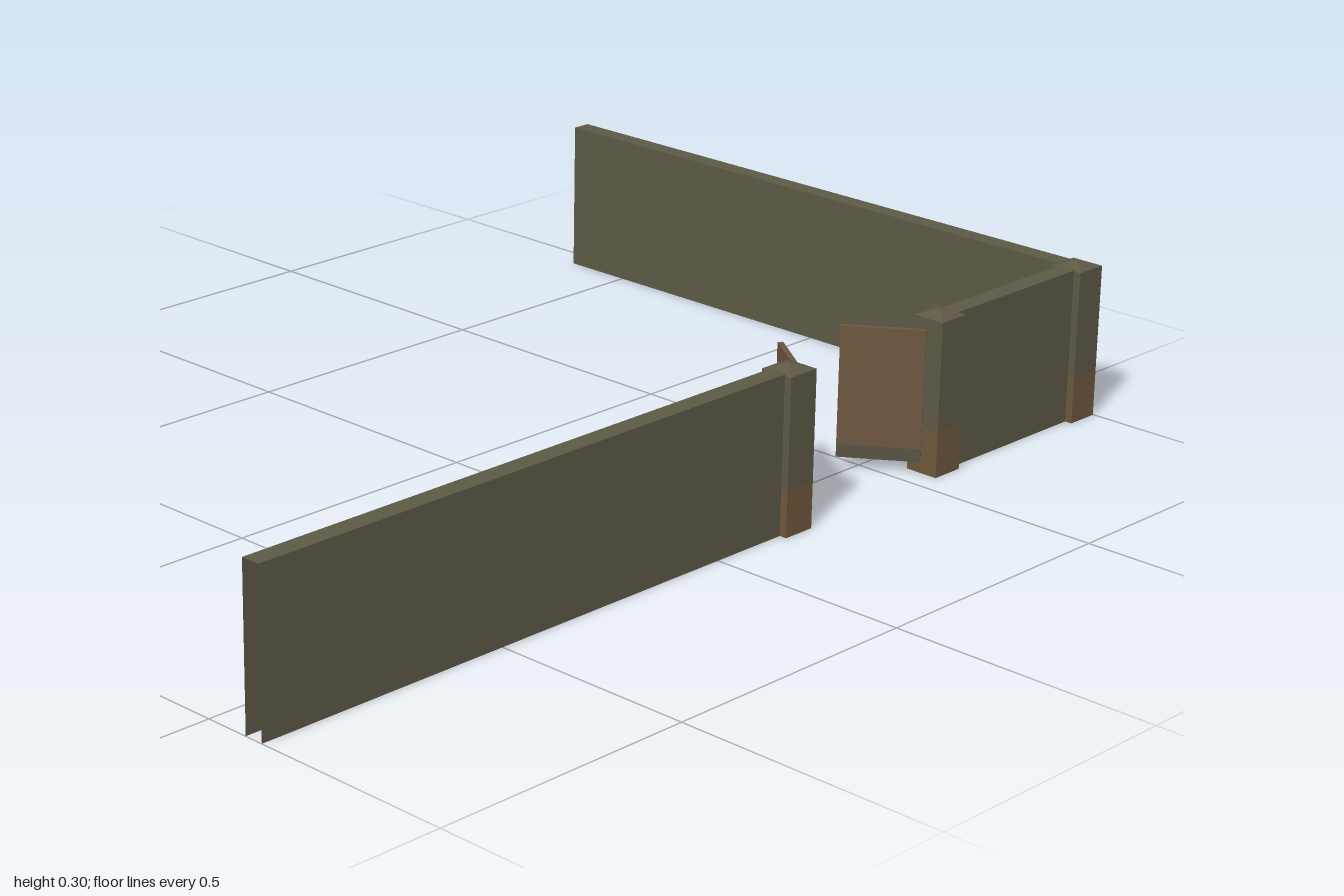
import * as THREE from 'three';

const mat = (name, color) => {
  const m = new THREE.MeshStandardMaterial({ color, side: THREE.DoubleSide });
  m.name = name;
  return m;
};

// Box that keeps only the listed sides (0 +x, 1 -x, 2 +y, 3 -y, 4 +z, 5 -z)
function shell(w, h, d, sides) {
  const g = new THREE.BoxGeometry(w, h, d);
  const all = Array.from(g.index.array);
  g.setIndex(sides.flatMap((s) => all.slice(s * 6, s * 6 + 6)));
  g.clearGroups();
  return g;
}

export function createModel() {
  const model = new THREE.Group();
  model.name = 'walledGateway';
  const olive = mat('weatheredOlive', 0x5e5946);
  const rust = mat('rust', 0x6e573c);
  const gateBrown = mat('gateBrown', 0x6c563e);
  const gateGrey = mat('gateGrey', 0x575342);
  const stain = mat('rustStain', 0x655438);

  const add = (parent, name, geometry, material, x, y, z) => {
    const mesh = new THREE.Mesh(geometry, material);
    mesh.name = name;
    mesh.position.set(x, y, z);
    parent.add(mesh);
    return mesh;
  };

  // Hollow walls: two faces and a top, open below and at the ends
  const H = 0.288, T = 0.036, Z = 0.602;
  const wallX = (name, x0, x1) =>
    add(model, name, shell(x1 - x0, H, T, [2, 4, 5]), olive, (x0 + x1) / 2, H / 2, Z);
  wallX('longWall', -1, 0.17);
  wallX('shortWall', 0.6, 0.95);
  add(model, 'sideWall', shell(T, H, 1.217, [0, 1, 2]), olive, 0.967, H / 2, -0.0285);

  // Faint rust stains along the foot of the side wall
  for (const z of [0.37, 0.08, -0.22, -0.51]) {
    add(model, 'stain', new THREE.BoxGeometry(0.002, 0.014, 0.03), stain, 0.985, 0.008, z);
    add(model, 'stain', new THREE.BoxGeometry(0.002, 0.012, 0.025), stain, 0.985, 0.05, z + 0.04);
  }

  // Square posts with a rusty foot and a low pyramid cap
  const P = 0.064, foot = 0.085, top = 0.286;
  const cap = new THREE.ConeGeometry(P / Math.SQRT2, 0.011, 4, 1, true).toNonIndexed();
  cap.rotateY(Math.PI / 4);
  cap.computeVertexNormals();
  for (const x of [0.186, 0.58, 0.967]) {
    const post = new THREE.Group();
    post.name = 'post';
    post.position.set(x, 0, Z);
    add(post, 'postFoot', shell(P, foot, P, [0, 1, 4, 5]), rust, 0, foot / 2, 0);
    add(post, 'postShaft', shell(P, top - foot, P, [0, 1, 4, 5]), olive, 0, (top + foot) / 2, 0);
    add(post, 'postCap', cap, olive, 0, top + 0.0055, 0);
    model.add(post);
  }

  // Two thin gate leaves standing open inward
  const leaf = (name, x0, z0, x1, z1) => {
    const gate = new THREE.Group();
    gate.name = name;
    gate.position.set((x0 + x1) / 2, 0, (z0 + z1) / 2);
    gate.rotation.y = Math.atan2(z0 - z1, x1 - x0);
    const len = Math.hypot(x1 - x0, z1 - z0);
    add(gate, 'gateFoot', new THREE.BoxGeometry(len, 0.024, 0.01), gateGrey, 0, 0.034, 0);
    add(gate, 'gatePanel', new THREE.BoxGeometry(len, 0.219, 0.01), gateBrown, 0, 0.1555, 0);
    model.add(gate);
  };
  leaf('gateLeafRight', 0.226, 0.597, 0.32, 0.465);
  leaf('gateLeafLeft', 0.547, 0.6, 0.462, 0.479);

  return model;
}
